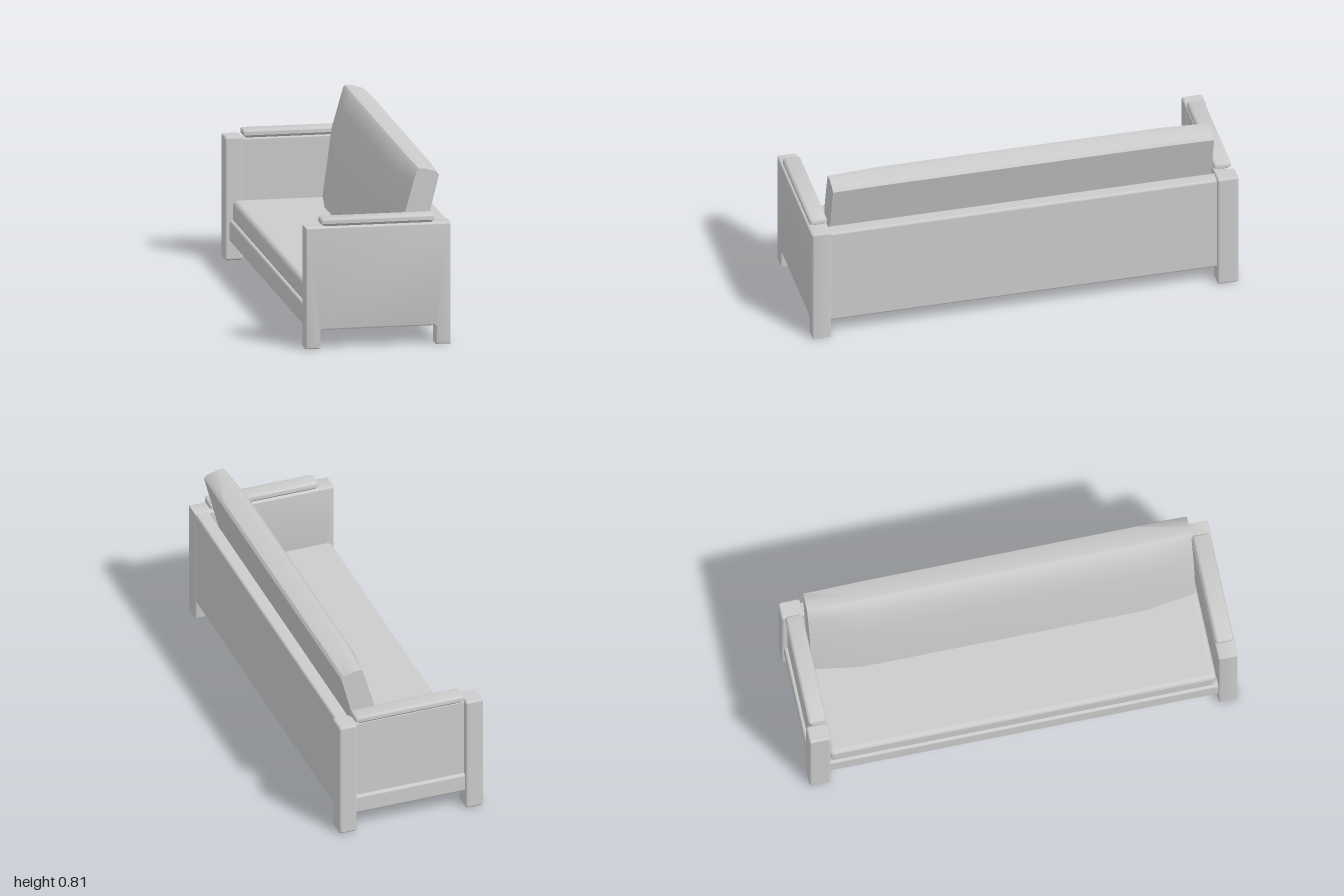
import * as THREE from 'three';
import { RoundedBoxGeometry } from 'three/addons/geometries/RoundedBoxGeometry.js';
import { toCreasedNormals } from 'three/addons/utils/BufferGeometryUtils.js';

const material = new THREE.MeshStandardMaterial({ color: 0xcccccc });

// Rounded box given by its limits on each axis
function block(name, [x0, x1], [y0, y1], [z0, z1], radius) {
  const geometry = new RoundedBoxGeometry(x1 - x0, y1 - y0, z1 - z0, 3, radius);
  const mesh = new THREE.Mesh(geometry, material);
  mesh.name = name;
  mesh.position.set((x0 + x1) / 2, (y0 + y1) / 2, (z0 + z1) / 2);
  return mesh;
}

// Solid arm with two legs cut from one slab
function slabArm() {
  const bevel = 0.008;
  const outline = [
    [-0.337, 0], [-0.268, 0], [-0.268, 0.08], [-0.26, 0.088], [0.26, 0.088],
    [0.268, 0.08], [0.268, 0], [0.337, 0], [0.337, 0.567], [-0.337, 0.567],
  ];
  const shape = new THREE.Shape(outline.map(([x, y]) => new THREE.Vector2(x, y)));
  const geometry = new THREE.ExtrudeGeometry(shape, {
    depth: 0.09 - 2 * bevel, bevelThickness: bevel, bevelSize: bevel,
    bevelOffset: -bevel, bevelSegments: 3,
  });
  geometry.translate(0, 0, 0.91 + bevel);
  const mesh = new THREE.Mesh(toCreasedNormals(geometry, 0.7), material);
  mesh.name = 'solidArm';
  return mesh;
}

// Arm made of two posts, a recessed panel and a lower rail
function framedArm() {
  const arm = new THREE.Group();
  arm.name = 'framedArm';
  for (const [x0, x1] of [[-0.35, -0.265], [0.265, 0.35]]) {
    arm.add(block('armPost', [x0, x1], [0, 0.578], [-1, -0.9], 0.012));
  }
  arm.add(block('armPanel', [-0.28, 0.28], [0.12, 0.567], [-0.972, -0.905], 0.006));
  arm.add(block('armRail', [-0.28, 0.28], [0.088, 0.18], [-0.988, -0.9], 0.012));
  return arm;
}

// Armrest pad whose lower half tapers inwards
function armrest(z) {
  const mesh = block('armrest', [-0.265, 0.265], [0.568, 0.606], [z - 0.041, z + 0.041], 0.013);
  const p = mesh.geometry.attributes.position;
  for (let i = 0; i < p.count; i++) {
    if (p.getY(i) < -0.007) {
      p.setX(i, p.getX(i) * 0.97);
      p.setZ(i, p.getZ(i) * 0.9);
    }
  }
  mesh.geometry = toCreasedNormals(mesh.geometry, 0.6);
  return mesh;
}

// Leaning cushion lofted along z, thinner towards both ends
function backCushion() {
  const middle = [
    [0.065, 0.27], [0.175, 0.27], [0.26, 0.605], [0.305, 0.773], [0.295, 0.787],
    [0.23, 0.806], [0.2, 0.806], [0.184, 0.793], [0.15, 0.735], [0.117, 0.605],
  ];
  const end = [
    [0.1, 0.27], [0.175, 0.27], [0.26, 0.605], [0.302, 0.768], [0.292, 0.782],
    [0.235, 0.8], [0.208, 0.8], [0.198, 0.79], [0.183, 0.74], [0.145, 0.605],
  ];
  const sections = [[end, -0.895], [middle, -0.66], [middle, 0.66], [end, 0.895]];
  const n = end.length;
  const positions = [];
  const index = [];
  for (const [points, z] of sections) {
    for (const [x, y] of points) positions.push(x, y, z);
  }
  for (let s = 0; s < 3; s++) {
    for (let i = 0; i < n; i++) {
      const a = s * n + i;
      const b = s * n + (i + 1) % n;
      index.push(a, b, b + n, a, b + n, a + n);
    }
  }
  // End caps
  const contour = end.map(([x, y]) => new THREE.Vector2(x, y));
  for (const [a, b, c] of THREE.ShapeUtils.triangulateShape(contour, [])) {
    index.push(a, c, b, a + 3 * n, b + 3 * n, c + 3 * n);
  }
  const geometry = new THREE.BufferGeometry();
  geometry.setAttribute('position', new THREE.Float32BufferAttribute(positions, 3));
  geometry.setIndex(index);
  const mesh = new THREE.Mesh(toCreasedNormals(geometry, 0.65), material);
  mesh.name = 'backCushion';
  return mesh;
}

export function createModel() {
  const sofa = new THREE.Group();
  sofa.name = 'sofa';
  sofa.add(slabArm(), framedArm());
  sofa.add(armrest(0.953), armrest(-0.945));
  // Base, seat and back
  sofa.add(block('base', [-0.328, 0.32], [0.088, 0.19], [-0.92, 0.93], 0.012));
  sofa.add(block('seatCushion', [-0.318, 0.275], [0.18, 0.285], [-0.9, 0.905], 0.025));
  sofa.add(block('backPanel', [0.268, 0.335], [0.088, 0.567], [-0.92, 0.998], 0.012));
  sofa.add(backCushion());
  return sofa;
}
